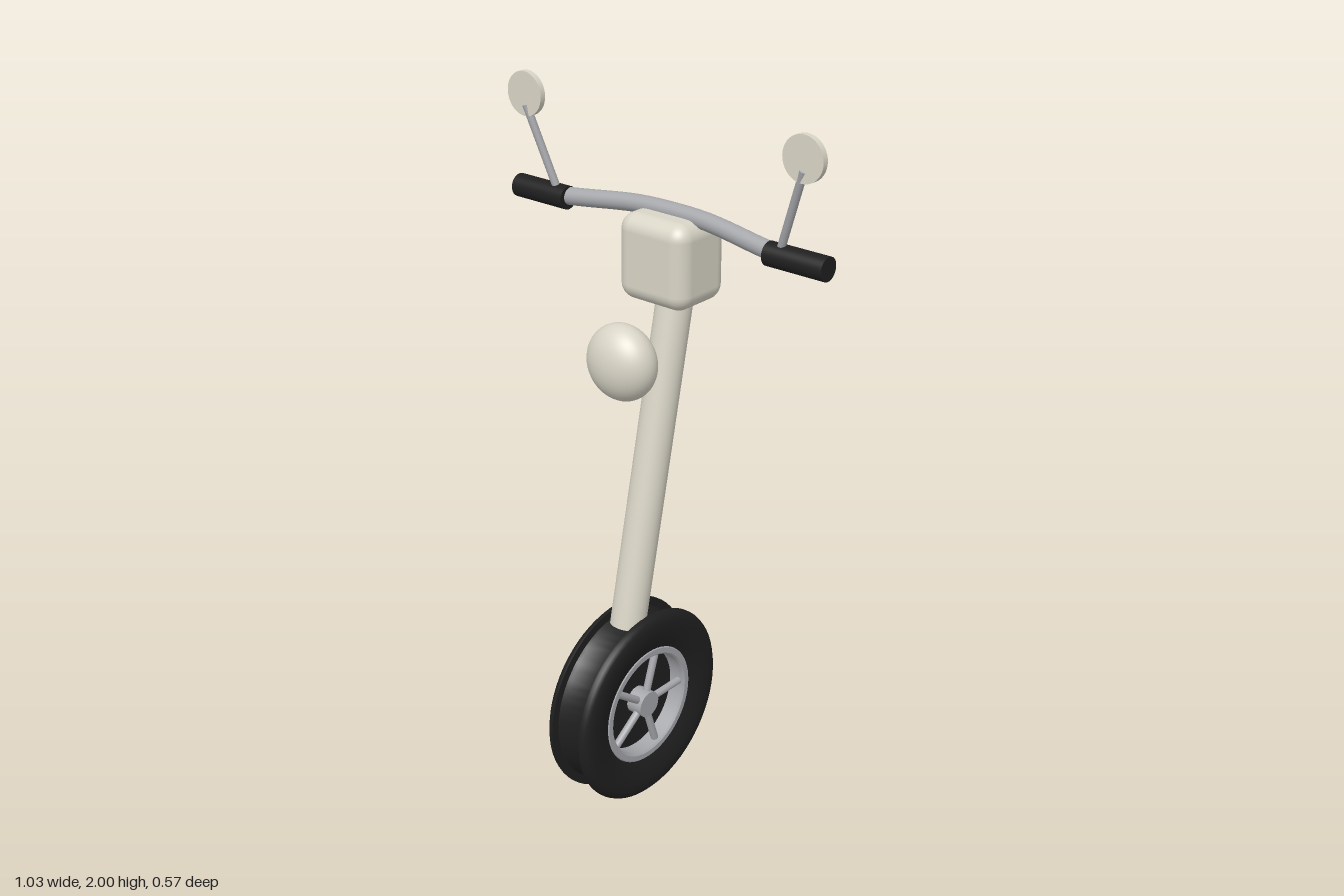
import * as THREE from 'three';
import { toCreasedNormals } from 'three/addons/utils/BufferGeometryUtils.js';
import { RoundedBoxGeometry } from 'three/addons/geometries/RoundedBoxGeometry.js';

function material(name, color) {
  const m = new THREE.MeshStandardMaterial({ color });
  m.name = name;
  return m;
}

export function createModel() {
  const cream = material('cream paint', 0xd8d4c6);
  const metal = material('grey metal', 0xa6a7ab);
  const black = material('black rubber', 0x1f1f1f);
  const model = new THREE.Group();
  model.name = 'scooterFrontEnd';
  const v = (x, y, z) => new THREE.Vector3(x, y, z);

  function add(parent, name, geometry, mat, x = 0, y = 0, z = 0) {
    const mesh = new THREE.Mesh(geometry, mat);
    mesh.name = name;
    mesh.position.set(x, y, z);
    parent.add(mesh);
    return mesh;
  }

  // Cylinder running from point a to point b
  function rod(parent, name, a, b, radius, mat, sides = 20) {
    const dir = b.clone().sub(a);
    const mesh = add(parent, name, new THREE.CylinderGeometry(radius, radius, dir.length(), sides), mat);
    mesh.position.copy(a).add(b).multiplyScalar(0.5);
    mesh.quaternion.setFromUnitVectors(v(0, 1, 0), dir.normalize());
    return mesh;
  }

  // Ring turned around the wheel axle; half profile [radius, x] is mirrored
  function ring(half) {
    const lower = half.map(([r, x]) => new THREE.Vector2(r, -x));
    const upper = half.map(([r, x]) => new THREE.Vector2(r, x)).reverse();
    const geo = new THREE.LatheGeometry([...lower, ...upper, lower[0].clone()], 64);
    geo.rotateZ(-Math.PI / 2);
    return toCreasedNormals(geo, 0.7);
  }

  // Wheel: grooved tyre, rim, backing disc, hub and five spokes
  const wheel = new THREE.Group();
  wheel.name = 'wheel';
  wheel.position.y = 0.287;
  model.add(wheel);
  add(wheel, 'tyre', ring([
    [0.175, 0.058], [0.2, 0.068], [0.235, 0.075], [0.262, 0.075], [0.275, 0.071],
    [0.284, 0.063], [0.287, 0.055], [0.287, 0.049], [0.262, 0.049], [0.257, 0.042],
  ]), black);
  add(wheel, 'rim', ring([[0.152, 0.056], [0.157, 0.061], [0.173, 0.061], [0.178, 0.056]]), metal);
  add(wheel, 'wheelDisc', new THREE.CylinderGeometry(0.156, 0.156, 0.02, 48), black).rotation.z = Math.PI / 2;
  rod(wheel, 'hub', v(-0.055, 0, 0), v(0.06, 0, 0), 0.039, metal, 32);
  for (let i = 0; i < 5; i++) {
    const a = i * Math.PI * 2 / 5;
    const at = r => v(0.04, Math.sin(a) * r, -Math.cos(a) * r);
    rod(wheel, 'spoke', at(0.02), at(0.158), 0.011, metal, 12);
  }

  // Raked steering column
  rod(model, 'steeringColumn', v(0, 0.54, 0.024), v(0, 1.55, -0.187), 0.05, cream, 40);

  // Housing at the top of the column, with a small rear knob
  add(model, 'housing', new RoundedBoxGeometry(0.226, 0.236, 0.192, 6, 0.045), cream, 0, 1.578, -0.151);
  add(model, 'rearKnob', new THREE.SphereGeometry(0.016, 16, 10).scale(1, 0.5, 0.5), metal, 0, 1.61, -0.246);

  // Egg-shaped headlamp
  add(model, 'headlamp', new THREE.SphereGeometry(1, 40, 28).scale(0.105, 0.105, 0.074), cream, 0, 1.34, 0.045);

  // Curved handlebar
  const barPath = new THREE.CatmullRomCurve3([
    v(-0.4, 1.668, -0.122), v(-0.3, 1.677, -0.132), v(-0.12, 1.695, -0.15), v(0, 1.698, -0.153),
    v(0.12, 1.695, -0.15), v(0.3, 1.677, -0.132), v(0.4, 1.668, -0.122),
  ]);
  add(model, 'handlebar', new THREE.TubeGeometry(barPath, 48, 0.024, 20), metal);

  // Grips and mirrors on both sides
  for (const s of [-1, 1]) {
    const side = s > 0 ? 'left' : 'right';
    rod(model, side + 'Grip', v(s * 0.335, 1.67, -0.122), v(s * 0.515, 1.67, -0.122), 0.032, black, 32);
    rod(model, side + 'MirrorStem', v(s * 0.37, 1.68, -0.12), v(s * 0.453, 1.91, -0.09), 0.011, metal, 14);
    const mirror = add(model, side + 'Mirror', new THREE.CylinderGeometry(0.06, 0.06, 0.017, 40), cream, s * 0.453, 1.94, -0.092);
    mirror.rotation.x = Math.PI / 2;
  }
  return model;
}
